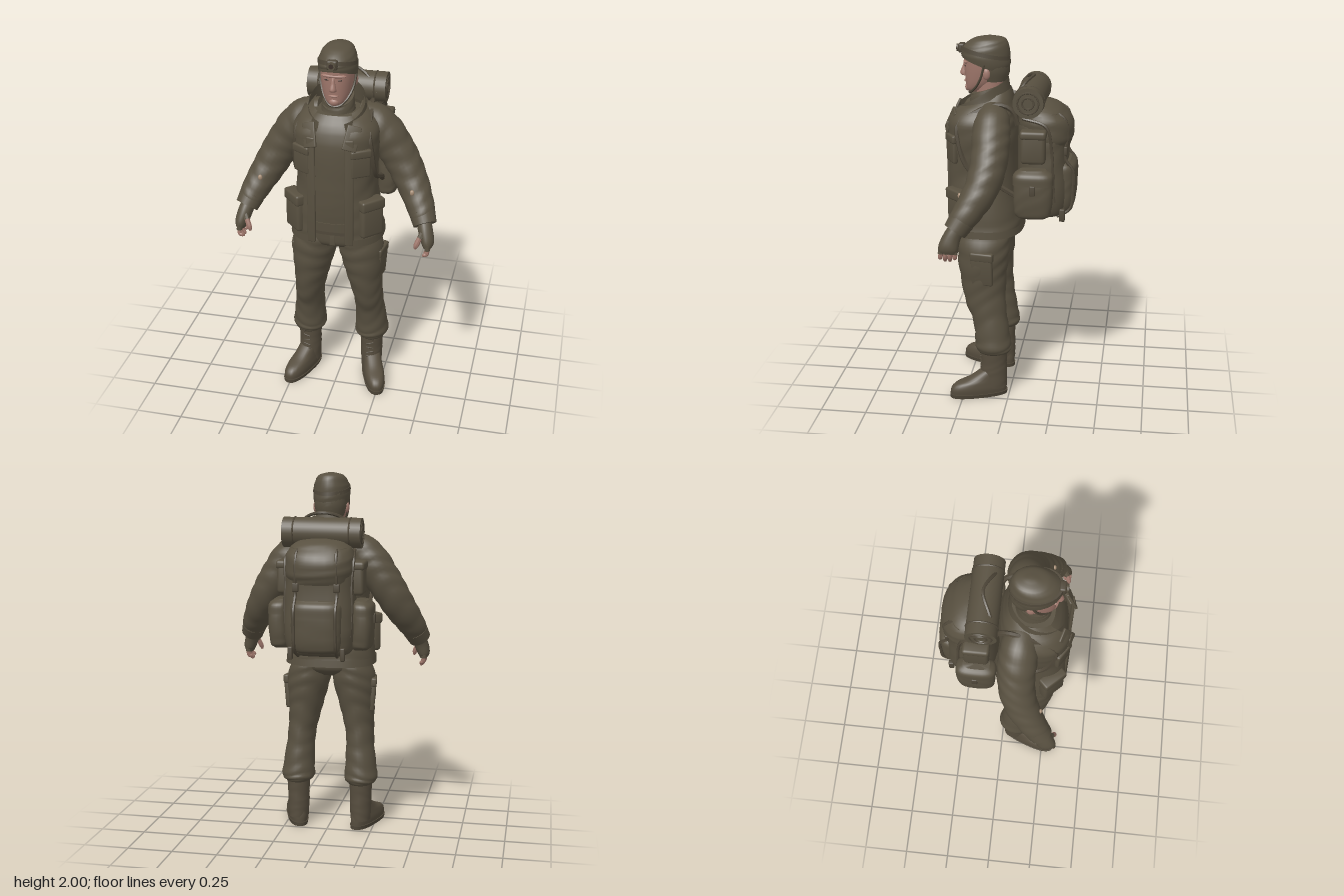
import * as THREE from 'three';
import { toCreasedNormals } from 'three/addons/utils/BufferGeometryUtils.js';
import { RoundedBoxGeometry } from 'three/addons/geometries/RoundedBoxGeometry.js';

const V = (x, y, z) => new THREE.Vector3(x, y, z);
const curve = pts => new THREE.CatmullRomCurve3(pts, false, 'catmullrom', 0.5);

// Skin over cross-sections [x, y, z, rx, rz, slope, frontGap]; rings lie level, or across the path if along.
function loft(secs, { n = 28, e = 2, sub = 5, wrinkle = 0, folds = 8, along = false, open = false } = {}) {
  const P = curve(secs.map(s => V(s[0], s[1], s[2])));
  const R = curve(secs.map(s => V(s[3], s[4] ?? s[3], s[5] ?? 0)));
  const G = curve(secs.map(s => V(s[6] ?? 0, 0, 0)));
  const m = (secs.length - 1) * sub, pos = [], idx = [];
  const pw = v => Math.sign(v) * Math.abs(v) ** (2 / e);
  for (let i = 0; i <= m; i++) {
    const t = i / m, c = P.getPoint(t), r = R.getPoint(t), g = G.getPoint(t).x;
    const T = along ? P.getTangent(t) : V(0, 1, 0);
    const U = V(1, 0, 0).addScaledVector(T, -T.x).normalize(), W = U.clone().cross(T);
    for (let j = 0; j <= n; j++) {
      const a = Math.PI / 2 + g + j / n * (Math.PI * 2 - 2 * g);
      // rounded slanting cloth folds with sharp valleys
      const k = 1 + wrinkle * (2 * Math.abs(Math.sin(t * folds * 3.14 + 1.6 * Math.sin(a) + 0.9 * Math.cos(2 * a + 9 * t))) - 1);
      const p = c.clone().addScaledVector(U, r.x * k * pw(Math.cos(a))).addScaledVector(W, r.y * k * pw(Math.sin(a)));
      pos.push(p.x, p.y + r.z * r.y * Math.sin(a), p.z);
    }
  }
  const w = n + 1;
  for (let i = 0; i < m; i++) for (let j = 0; j < n; j++) {
    const a = i * w + j, c = a + w;
    idx.push(a, c, a + 1, a + 1, c, c + 1);
  }
  if (!open) [0, m].forEach(i => {
    const c = pos.length / 3, p = P.getPoint(i / m);
    pos.push(p.x, p.y, p.z);
    for (let j = 0; j < n; j++) idx.push(c, i * w + j + (i ? 1 : 0), i * w + j + (i ? 0 : 1));
  });
  const geo = new THREE.BufferGeometry();
  geo.setAttribute('position', new THREE.Float32BufferAttribute(pos, 3));
  geo.setIndex(idx);
  return geo;
}

const place = (geo, x, y, z, rx = 0, ry = 0, rz = 0) => geo.rotateX(rx).rotateZ(rz).rotateY(ry).translate(x, y, z);
const box = (w, h, d, r = 0.01) => new RoundedBoxGeometry(w, h, d, 2, r);
const tube = (pts, r) => new THREE.TubeGeometry(curve(pts.map(p => V(...p))), 32, r, 6);
const ball = (x, y, z) => new THREE.SphereGeometry(1, 16, 12).scale(x, y, z);

function mirrored(src) {
  const geo = src.index ? src.toNonIndexed() : src.clone();
  const p = geo.attributes.position, a = V(), b = V();
  geo.scale(-1, 1, 1);
  for (let i = 0; i < p.count; i += 3) {
    a.fromBufferAttribute(p, i); b.fromBufferAttribute(p, i + 2);
    p.setXYZ(i, b.x, b.y, b.z); p.setXYZ(i + 2, a.x, a.y, a.z);
  }
  return geo;
}

export function createModel() {
  const root = new THREE.Group();
  root.name = 'hikerWithBackpack';
  const mat = (name, color, side = THREE.FrontSide) => {
    const m = new THREE.MeshStandardMaterial({ color, side });
    m.name = name;
    return m;
  };
  const cloth = mat('oliveCloth', 0x585040, THREE.DoubleSide);
  const webbing = mat('darkWebbing', 0x4f4739);
  const leather = mat('bootLeather', 0x564d3e);
  const skin = mat('skin', 0xa0786c);
  const tan = mat('tanLining', 0xa58c74);
  const dark = mat('darkDetail', 0x3a2f28);

  const add = (name, src, m) => {
    const g = src.clone();
    g.deleteAttribute('uv'); g.deleteAttribute('normal');
    const geo = toCreasedNormals(g.scale(100, 100, 100), 0.6).scale(0.01, 0.01, 0.01);
    const mesh = new THREE.Mesh(geo, m);
    mesh.name = name;
    root.add(mesh);
  };
  const pair = (name, geo, m) => { add(name + 'Left', geo, m); add(name + 'Right', mirrored(geo), m); };

  // Trousers
  add('trouserSeat', loft([[0, 0.88, 0.145, 0.06, 0.08], [0, 0.915, 0.145, 0.18, 0.135], [0, 0.97, 0.145, 0.222, 0.147],
    [0, 1.06, 0.15, 0.2, 0.145]], { e: 2.4 }), cloth);
  pair('trouserLeg', loft([[0.18, 0.265, 0.085, 0.072, 0.085], [0.18, 0.29, 0.085, 0.092, 0.1], [0.18, 0.34, 0.09, 0.09, 0.098],
    [0.173, 0.45, 0.105, 0.08, 0.096], [0.166, 0.55, 0.13, 0.079, 0.11], [0.153, 0.65, 0.142, 0.09, 0.12],
    [0.142, 0.75, 0.147, 0.106, 0.132], [0.13, 0.85, 0.147, 0.12, 0.142], [0.118, 0.94, 0.147, 0.108, 0.143],
    [0.11, 1.0, 0.147, 0.09, 0.12]], { wrinkle: 0.024, folds: 9 }), cloth);
  pair('cargoPocket', place(box(0.03, 0.17, 0.12), 0.236, 0.765, 0.14, 0, -0.15, -0.08), cloth);
  pair('cargoPocketFlap', place(box(0.033, 0.05, 0.128), 0.242, 0.845, 0.14, 0, -0.15, -0.08), cloth);
  add('belt', loft([[0, 0.985, 0.147, 0.226, 0.15], [0, 1.02, 0.147, 0.222, 0.15]], { e: 2.4 }), webbing);
  add('trouserFly', place(box(0.03, 0.08, 0.012, 0.004), 0, 0.96, 0.288), cloth);

  // Boots, toes turned out
  const foot = g => g.rotateY(0.34).translate(0.208, 0, 0.168);
  pair('bootShaft', loft([[0.18, 0.05, 0.085, 0.056, 0.072], [0.18, 0.13, 0.086, 0.06, 0.074], [0.18, 0.2, 0.085, 0.061, 0.072],
    [0.18, 0.3, 0.085, 0.066, 0.076]], { wrinkle: 0.015, folds: 4 }), leather);
  pair('bootFoot', foot(loft([[0, 0.015, 0, 0.054, 0.158], [0, 0.05, -0.001, 0.058, 0.158], [0, 0.08, -0.013, 0.055, 0.142],
    [0, 0.108, -0.048, 0.051, 0.103], [0, 0.155, -0.085, 0.047, 0.062]], { e: 2.4 })), leather);
  pair('bootSole', foot(loft([[0, 0, 0, 0.055, 0.162], [0, 0.022, 0, 0.06, 0.164]], { e: 2.5, sub: 1 })), webbing);
  for (let i = 0; i < 5; i++)
    pair('bootLace' + i, place(box(0.045, 0.008, 0.01, 0.004), 0.184, 0.14 + i * 0.03, 0.158, 0, 0.15, i % 2 ? 0.2 : -0.2), webbing);

  // Sweater with rolled neck
  add('sweater', loft([[0, 1.01, 0.15, 0.2, 0.16], [0, 1.15, 0.16, 0.19, 0.163], [0, 1.3, 0.165, 0.185, 0.16], [0, 1.48, 0.162, 0.2, 0.158],
    [0, 1.58, 0.15, 0.19, 0.145], [0, 1.65, 0.14, 0.13, 0.11]], { e: 2.4, wrinkle: 0.004 }), cloth);
  add('sweaterHem', loft([[0, 1.015, 0.15, 0.203, 0.166], [0, 1.065, 0.152, 0.202, 0.168]], { e: 2.4 }), cloth);
  add('sweaterNeck', loft([[0, 1.6, 0.145, 0.095, 0.1, -0.2], [0, 1.67, 0.143, 0.085, 0.09, -0.25], [0, 1.72, 0.138, 0.078, 0.086, -0.35]],
    { wrinkle: 0.02, folds: 3 }), cloth);

  // Open jacket with upright collar
  add('jacket', loft([[0, 0.95, 0.142, 0.247, 0.2, 0, 0.33], [0, 1.02, 0.146, 0.24, 0.198, 0, 0.32], [0, 1.15, 0.157, 0.223, 0.191, 0, 0.3],
    [0, 1.3, 0.16, 0.208, 0.188, 0, 0.28], [0, 1.45, 0.158, 0.222, 0.19, 0, 0.29], [0, 1.56, 0.16, 0.225, 0.185, 0, 0.36],
    [0, 1.63, 0.142, 0.19, 0.156, 0, 0.5], [0, 1.69, 0.132, 0.125, 0.118, -0.3, 0.7]],
  { e: 2.5, n: 40, wrinkle: 0.01, folds: 7, open: true }), cloth);
  add('jacketCollar', loft([[0, 1.605, 0.16, 0.165, 0.15, -0.4, 0.55], [0, 1.655, 0.165, 0.152, 0.147, -0.5, 0.5],
    [0, 1.7, 0.168, 0.146, 0.143, -0.55, 0.46]], { open: true }), cloth);
  add('jacketHem', loft([[0, 0.95, 0.142, 0.252, 0.204, 0, 0.34], [0, 0.99, 0.145, 0.249, 0.203, 0, 0.34]],
    { e: 2.5, n: 40, open: true }), cloth);
  pair('jacketPlacket', place(box(0.045, 0.6, 0.016, 0.006), 0.1, 1.26, 0.334, 0, 0.18), cloth);
  pair('jacketLapel', place(box(0.075, 0.13, 0.014, 0.005), 0.11, 1.565, 0.318, -0.35, 0.3, -0.3), cloth);
  pair('chestPocket', place(box(0.105, 0.14, 0.028, 0.01), 0.152, 1.42, 0.306, 0, 0.55), cloth);
  pair('chestPocketFlap', place(box(0.112, 0.045, 0.036, 0.01), 0.153, 1.48, 0.307, 0, 0.55), cloth);
  pair('hipPocket', place(box(0.135, 0.2, 0.06, 0.018), 0.2, 1.1, 0.268, 0, 0.8), cloth);
  pair('hipPocketFlap', place(box(0.142, 0.06, 0.07, 0.012), 0.201, 1.185, 0.27, 0, 0.8), cloth);

  // Sleeves, each with a small tear below the elbow
  pair('sleeve', loft([[0.09, 1.61, 0.095, 0.07], [0.165, 1.585, 0.088, 0.09], [0.228, 1.525, 0.085, 0.099], [0.28, 1.45, 0.083, 0.097],
    [0.33, 1.37, 0.09, 0.094], [0.381, 1.28, 0.115, 0.088], [0.43, 1.195, 0.162, 0.078], [0.465, 1.125, 0.21, 0.067],
    [0.482, 1.085, 0.235, 0.057]], { along: true, wrinkle: 0.026, folds: 9 }), cloth);
  pair('sleeveCuff', loft([[0.462, 1.13, 0.205, 0.069], [0.484, 1.08, 0.238, 0.062]], { along: true }), cloth);
  pair('sleeveTear', place(ball(0.012, 0.016, 0.01), 0.408, 1.247, 0.223), tan);

  // Fingerless gloves and fingers
  pair('gloveHand', loft([[0.475, 1.1, 0.225, 0.038, 0.04], [0.49, 1.05, 0.252, 0.039, 0.046], [0.505, 1.0, 0.268, 0.035, 0.052],
    [0.508, 0.97, 0.272, 0.024, 0.048]], { along: true, n: 16 }), cloth);
  [0, 1, 2, 3].forEach(i => {
    const z = 0.232 + i * 0.025, tip = 0.92 + Math.abs(i - 1.5) * 0.012;
    pair('gloveFinger' + i, loft([[0.508, 1.0, z, 0.014], [0.51, 0.965, z + 0.002, 0.0145]], { along: true, n: 8 }), cloth);
    pair('finger' + i, loft([[0.51, 0.97, z, 0.012], [0.507, 0.945, z + 0.004, 0.012], [0.495, tip, z + 0.006, 0.01],
      [0.488, tip - 0.008, z + 0.007, 0.004]], { along: true, n: 8 }), skin);
  });
  pair('gloveThumb', loft([[0.485, 1.06, 0.275, 0.016], [0.468, 1.025, 0.298, 0.016]], { along: true, n: 8 }), cloth);
  pair('thumb', loft([[0.468, 1.03, 0.297, 0.014], [0.452, 0.99, 0.308, 0.014], [0.446, 0.968, 0.31, 0.006]], { along: true, n: 8 }), skin);

  // Head
  add('neck', loft([[0, 1.62, 0.125, 0.066, 0.07], [0, 1.8, 0.13, 0.066, 0.075]]), skin);
  add('face', loft([[0, 1.7, 0.212, 0.022, 0.025], [0, 1.715, 0.198, 0.046, 0.05], [0, 1.75, 0.172, 0.067, 0.08], [0, 1.8, 0.152, 0.08, 0.105],
    [0, 1.85, 0.147, 0.086, 0.112], [0, 1.91, 0.143, 0.088, 0.115], [0, 1.95, 0.14, 0.075, 0.095]], { e: 2.2 }), skin);
  add('nose', loft([[0, 1.785, 0.258, 0.017, 0.016], [0, 1.797, 0.264, 0.018, 0.02], [0, 1.83, 0.258, 0.011, 0.014], [0, 1.86, 0.25, 0.009, 0.01]],
    { n: 12 }), skin);
  add('brow', place(ball(0.065, 0.011, 0.02), 0, 1.863, 0.243), skin);
  add('lips', place(ball(0.026, 0.007, 0.012), 0, 1.758, 0.249), skin);
  add('chin', place(ball(0.028, 0.022, 0.022), 0, 1.722, 0.236), skin);
  pair('eye', place(box(0.022, 0.006, 0.008, 0.002), 0.034, 1.842, 0.25, 0, 0.25), dark);
  pair('ear', place(ball(0.012, 0.03, 0.02), 0.088, 1.81, 0.13), skin);

  // Cap, head lamp and chin strap
  add('cap', loft([[0, 1.845, 0.147, 0.096, 0.126, 0.36], [0, 1.895, 0.145, 0.1, 0.13, 0.2], [0, 1.945, 0.138, 0.09, 0.116, 0.05],
    [0, 1.982, 0.125, 0.066, 0.085], [0, 1.998, 0.12, 0.012, 0.02]], { wrinkle: 0.014, folds: 4 }), cloth);
  add('capRearFlap', loft([[0, 1.765, 0.103, 0.074, 0.072], [0, 1.82, 0.108, 0.088, 0.09], [0, 1.88, 0.12, 0.09, 0.1]]), cloth);
  add('lampBand', loft([[0, 1.9, 0.147, 0.102, 0.133, 0.2], [0, 1.92, 0.146, 0.1, 0.13, 0.2]]), webbing);
  add('lampHousing', place(box(0.055, 0.05, 0.035), 0, 1.93, 0.272), webbing);
  add('lampRim', place(new THREE.CylinderGeometry(0.02, 0.022, 0.02, 16), 0, 1.93, 0.289, Math.PI / 2), cloth);
  add('lampLens', place(new THREE.CylinderGeometry(0.012, 0.012, 0.006, 16), 0, 1.93, 0.298, Math.PI / 2), dark);
  pair('chinStrap', tube([[0.095, 1.86, 0.14], [0.086, 1.79, 0.16], [0.064, 1.735, 0.19], [0.03, 1.7, 0.225], [0, 1.694, 0.234]], 0.007), webbing);

  // Backpack body, lid and pockets
  add('packBody', loft([[0, 1.05, -0.165, 0.13, 0.09], [0, 1.08, -0.17, 0.175, 0.128], [0, 1.2, -0.172, 0.19, 0.14], [0, 1.4, -0.165, 0.185, 0.132],
    [0, 1.52, -0.165, 0.178, 0.132], [0, 1.62, -0.16, 0.155, 0.11]], { e: 2.8, wrinkle: 0.01, folds: 5 }), cloth);
  add('packLid', loft([[0, 1.46, -0.17, 0.176, 0.136, 0.2], [0, 1.52, -0.178, 0.183, 0.147, 0.22], [0, 1.6, -0.175, 0.172, 0.142, 0.25],
    [0, 1.65, -0.165, 0.12, 0.1, 0.2], [0, 1.665, -0.16, 0.04, 0.03]], { e: 2.4, wrinkle: 0.014, folds: 4 }), cloth);
  add('packRearPocket', loft([[0, 1.075, -0.26, 0.1, 0.05], [0, 1.1, -0.26, 0.128, 0.075], [0, 1.2, -0.262, 0.135, 0.083],
    [0, 1.31, -0.262, 0.13, 0.078], [0, 1.34, -0.255, 0.11, 0.06]], { e: 3, wrinkle: 0.012, folds: 5 }), cloth);
  add('packRearPocketFlap', loft([[0, 1.265, -0.262, 0.138, 0.086], [0, 1.325, -0.262, 0.134, 0.082], [0, 1.352, -0.255, 0.11, 0.06]],
    { e: 3 }), cloth);
  pair('packSidePocket', loft([[0.215, 1.08, -0.13, 0.04, 0.07], [0.222, 1.105, -0.132, 0.052, 0.095], [0.226, 1.2, -0.134, 0.056, 0.102],
    [0.224, 1.3, -0.132, 0.053, 0.098], [0.215, 1.335, -0.13, 0.035, 0.07]], { e: 3, wrinkle: 0.02, folds: 4 }), cloth);
  pair('packSidePocketFlap', loft([[0.225, 1.265, -0.133, 0.059, 0.107], [0.224, 1.315, -0.132, 0.056, 0.103], [0.215, 1.342, -0.13, 0.035, 0.07]],
    { e: 3 }), cloth);
  pair('packSideBuckle', place(box(0.018, 0.055, 0.03, 0.005), 0.281, 1.245, -0.135), webbing);
  pair('packUpperPocket', place(box(0.07, 0.17, 0.13, 0.02), 0.198, 1.455, -0.13), cloth);
  pair('packUpperPocketFlap', place(box(0.078, 0.045, 0.138, 0.015), 0.199, 1.525, -0.13), cloth);

  // Pack straps
  pair('lidStrap', tube([[0.1, 1.64, -0.14], [0.105, 1.6, -0.275], [0.108, 1.5, -0.298], [0.11, 1.38, -0.288], [0.11, 1.31, -0.332],
    [0.11, 1.2, -0.334], [0.11, 1.1, -0.322], [0.105, 1.05, -0.25]], 0.009), webbing);
  pair('lidBuckle', place(box(0.034, 0.045, 0.018, 0.005), 0.109, 1.42, -0.292), webbing);
  pair('hangingStrap', place(box(0.025, 0.07, 0.03, 0.006), 0.14, 1.07, -0.28), webbing);
  pair('sideStrap', tube([[0.165, 1.6, -0.07], [0.182, 1.56, -0.195], [0.175, 1.42, -0.225], [0.18, 1.33, -0.23], [0.172, 1.15, -0.24]], 0.009), webbing);
  pair('shoulderStrap', tube([[0.14, 1.56, -0.04], [0.15, 1.64, -0.01], [0.165, 1.665, 0.08], [0.185, 1.58, 0.252], [0.2, 1.48, 0.264],
    [0.21, 1.33, 0.21], [0.215, 1.25, 0.06], [0.2, 1.18, -0.05]], 0.014), webbing);
  add('carryLoop', tube([[-0.165, 1.68, -0.03], [-0.1, 1.765, -0.07], [0, 1.795, -0.11], [0.1, 1.765, -0.07], [0.165, 1.68, -0.03]], 0.009), webbing);

  // Bedroll
  add('bedroll', place(new THREE.CylinderGeometry(0.08, 0.08, 0.42, 28), 0, 1.69, -0.102, 0, 0, Math.PI / 2), cloth);
  [0.055, 0.03].forEach((r, i) => pair('bedrollSpiral' + i, place(new THREE.TorusGeometry(r, 0.005, 6, 24), 0.21, 1.69, -0.102, 0, Math.PI / 2), webbing));
  pair('bedrollStrap', place(new THREE.TorusGeometry(0.079, 0.005, 6, 28), 0.15, 1.69, -0.102, 0, Math.PI / 2), webbing);
  return root;
}
